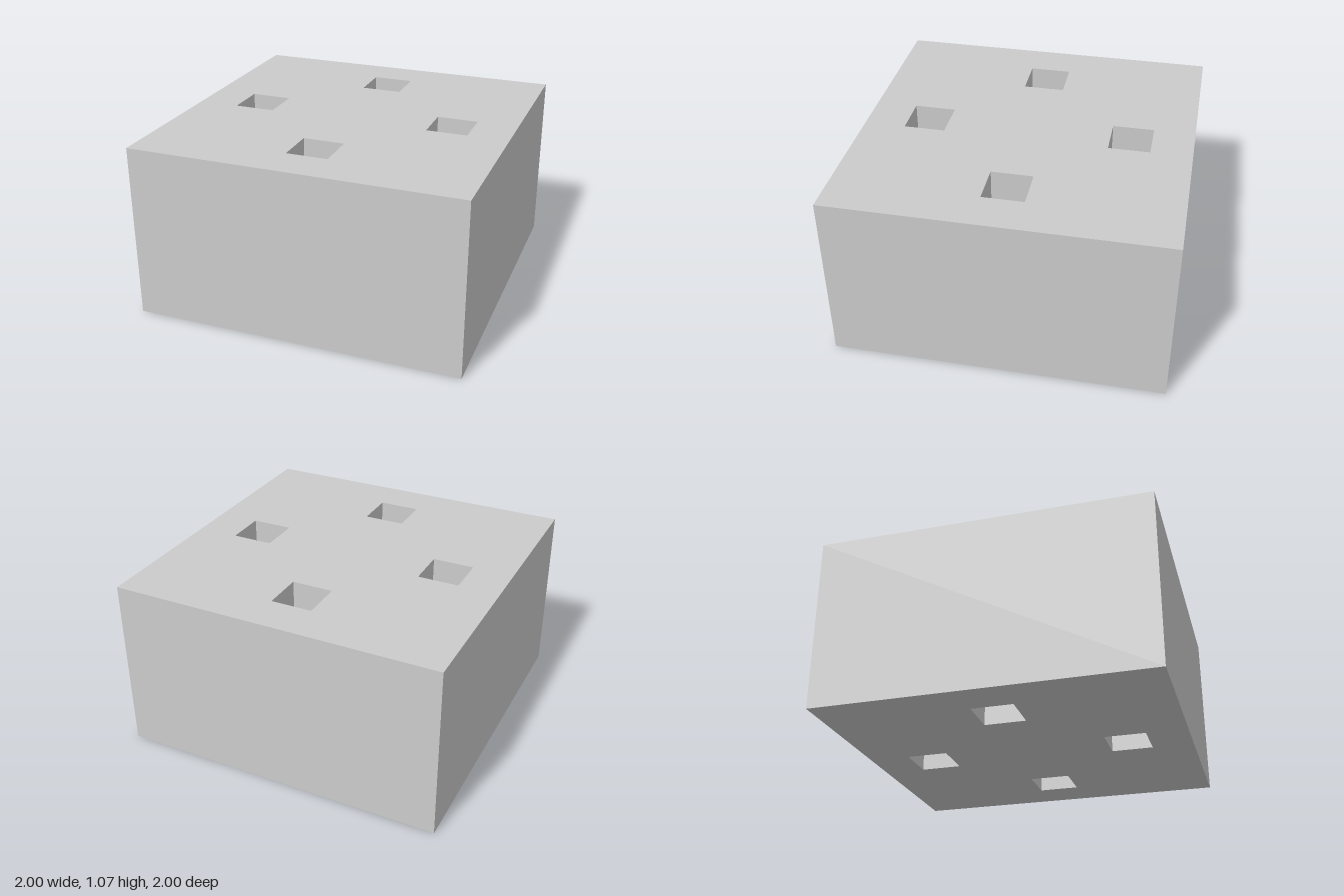
import * as THREE from 'three';

const HEIGHT = 1.066;

// Traces an axis-aligned square onto a Shape or Path
function square(path, cx, cy, half) {
  path.moveTo(cx - half, cy - half);
  path.lineTo(cx + half, cy - half);
  path.lineTo(cx + half, cy + half);
  path.lineTo(cx - half, cy + half);
  path.closePath();
  return path;
}

export function createModel() {
  const group = new THREE.Group();
  group.name = 'piercedBlock';

  // Square block outline
  const outline = square(new THREE.Shape(), 0, 0, 1);

  // Four square shafts, one towards each side
  for (const [dx, dz] of [[1, 0], [-1, 0], [0, 1], [0, -1]]) {
    outline.holes.push(square(new THREE.Path(), dx * 0.625, dz * 0.625, 0.125));
  }

  // Extruded upwards so the shafts run right through
  const geometry = new THREE.ExtrudeGeometry(outline, { depth: HEIGHT, bevelEnabled: false });
  geometry.rotateX(-Math.PI / 2);

  const block = new THREE.Mesh(
    geometry,
    new THREE.MeshStandardMaterial({ color: 0xcccccc, flatShading: true })
  );
  block.name = 'block';
  group.add(block);
  return group;
}
